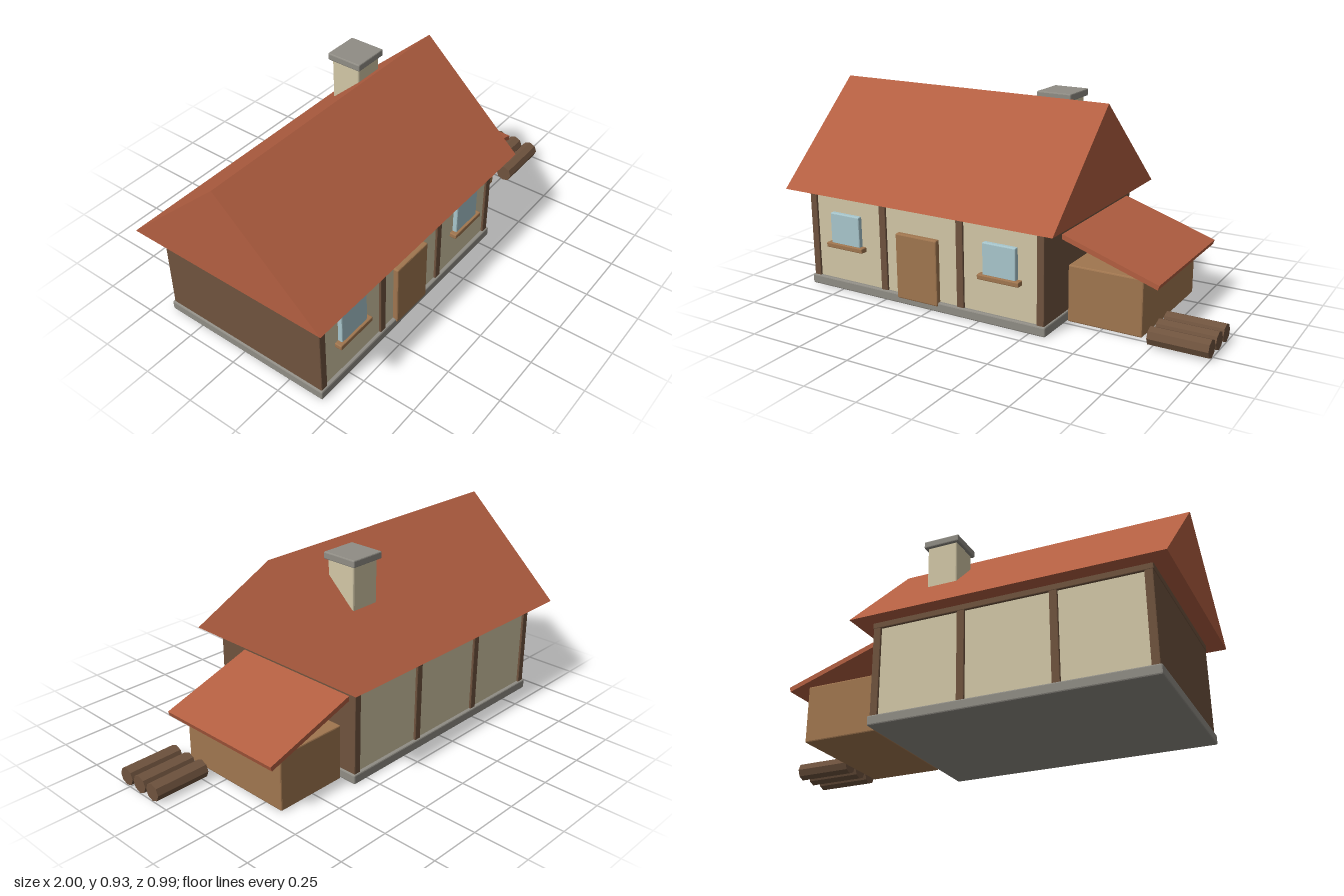
import * as THREE from 'three';
import { RoundedBoxGeometry } from 'three/addons/geometries/RoundedBoxGeometry.js';

const paint = (name, color) => {
  const m = new THREE.MeshStandardMaterial({ color });
  m.name = name;
  return m;
};

export function createModel() {
  const house = new THREE.Group();
  house.name = 'cottage';
  const roofTile = paint('roof tile', 0xb35f41);
  const plaster = paint('plaster', 0xd2c7a6);
  const timber = paint('dark timber', 0x6f533e);
  const plank = paint('plank wood', 0xa0764f);
  const stone = paint('stone', 0x908d85);
  const glass = paint('window glass', 0xa8c6cc);

  const add = (name, geometry, material) => {
    const mesh = new THREE.Mesh(geometry, material);
    mesh.name = name;
    house.add(mesh);
    return mesh;
  };
  // Box given by its limits, with small flat chamfers
  const box = (name, material, [x0, x1], [y0, y1], [z0, z1], bevel = 0.004) => {
    const g = new RoundedBoxGeometry(x1 - x0, y1 - y0, z1 - z0, 1, bevel);
    g.computeVertexNormals();
    g.translate((x0 + x1) / 2, (y0 + y1) / 2, (z0 + z1) / 2);
    return add(name, g, material);
  };

  // Walls, plinth and timber frame; the frames run the full depth
  box('plinth', stone, [-0.93, 0.33], [0, 0.045], [-0.427, 0.427], 0.006);
  box('walls', plaster, [-0.91, 0.31], [0.03, 0.46], [-0.41, 0.41]);
  for (const x of [-0.904, -0.508, -0.096, 0.304]) {
    box('framePost', timber, [x - 0.018, x + 0.018], [0.035, 0.46], [-0.42, 0.42]);
  }
  box('topBeam', timber, [-0.925, 0.325], [0.445, 0.478], [-0.421, 0.421]);

  // Main gable roof
  const gable = new THREE.Shape([
    new THREE.Vector2(-0.495, 0.472),
    new THREE.Vector2(0.495, 0.472),
    new THREE.Vector2(0, 0.926),
  ]);
  const roof = new THREE.ExtrudeGeometry(gable, { depth: 1.4, bevelEnabled: false });
  roof.rotateY(Math.PI / 2).translate(-1, 0, 0);
  add('gableRoof', roof, roofTile);

  // Chimney
  box('chimneyShaft', plaster, [0.01, 0.157], [0.6, 0.9], [-0.25, -0.104], 0.007);
  box('chimneyCap', stone, [-0.003, 0.17], [0.895, 0.928], [-0.265, -0.091], 0.005);

  // Door and windows
  box('door', plank, [-0.426, -0.208], [0.028, 0.335], [0.4, 0.434], 0.006);
  for (const x of [-0.716, 0.109]) {
    box('windowPane', glass, [x - 0.082, x + 0.082], [0.215, 0.372], [0.4, 0.431], 0.005);
    box('windowSill', plank, [x - 0.103, x + 0.103], [0.205, 0.228], [0.4, 0.443]);
  }

  // Side shed with its sloping roof
  box('shed', plank, [0.337, 0.685], [0.004, 0.265], [-0.352, 0.235], 0.006);
  const shedRoof = add('shedRoof', new THREE.BoxGeometry(0.467, 0.022, 0.65), roofTile);
  shedRoof.position.set(0.541, 0.326, -0.06);
  shedRoof.rotation.z = -0.315;

  // Row of eight-sided logs
  for (const z of [0.09, 0.178, 0.267]) {
    const g = new THREE.CylinderGeometry(0.041, 0.041, 0.265, 8).toNonIndexed();
    g.computeVertexNormals();
    const log = add('log', g, timber);
    log.rotation.z = Math.PI / 2;
    log.position.set(0.8675, 0.043, z);
  }
  return house;
}
